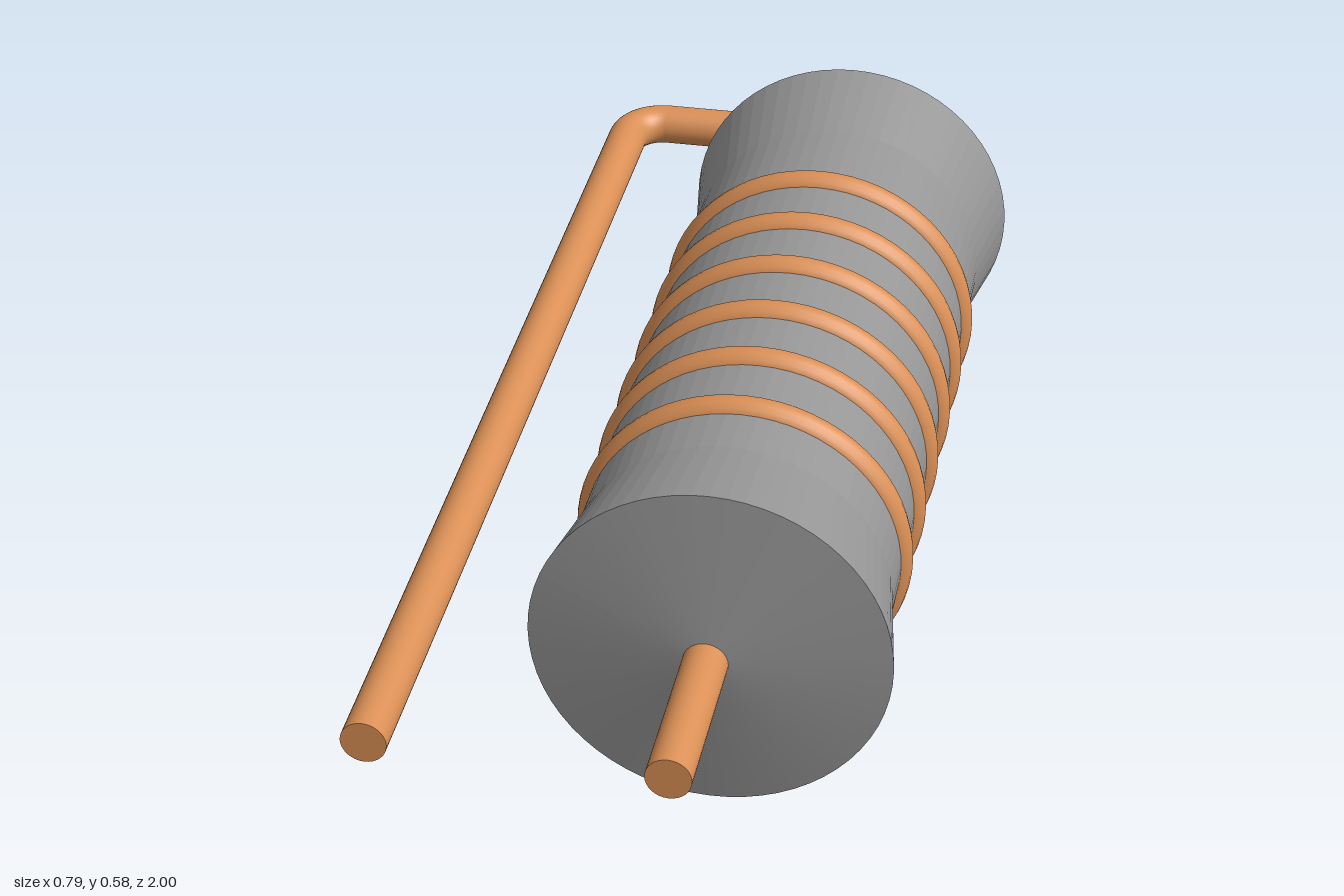
import * as THREE from 'three';

const AXIS_X = 0.106, AXIS_Y = 0.289;   // centre line of the body
const WIRE_R = 0.036, BEND_R = 0.068;
const RETURN_X = -0.358, BACK_Z = -0.964; // centre lines of the folded lead

export function createModel() {
  const model = new THREE.Group();
  const grey = new THREE.MeshStandardMaterial({ color: 0x969696, flatShading: true });
  const copper = new THREE.MeshStandardMaterial({ color: 0xdb9056 });

  const add = (name, geometry, material, x, y, z) => {
    const mesh = new THREE.Mesh(geometry, material);
    mesh.name = name;
    mesh.position.set(x, y, z);
    model.add(mesh);
    return mesh;
  };

  // Waisted body with flared ends and shallow conical caps
  const profile = [
    [0, -0.732], [0.288, -0.695], [0.259, -0.515],
    [0.259, 0.515], [0.288, 0.695], [0, 0.732],
  ].map(([r, h]) => new THREE.Vector2(r, h));
  const body = new THREE.LatheGeometry(profile, 64).rotateX(Math.PI / 2);
  add('body', body, grey, AXIS_X, AXIS_Y, -0.015);

  // Six evenly spaced bands
  for (let i = 0; i < 6; i++) {
    add('band' + (i + 1), new THREE.TorusGeometry(0.248, 0.027, 16, 64), copper,
      AXIS_X, AXIS_Y, 0.383 - i * 0.146);
  }

  // Straight lengths of wire, along z or along x
  const wireZ = (name, x, z0, z1) => add(name,
    new THREE.CylinderGeometry(WIRE_R, WIRE_R, z1 - z0, 32).rotateX(Math.PI / 2),
    copper, x, AXIS_Y, (z0 + z1) / 2);
  const wireX = (name, x0, x1, z) => add(name,
    new THREE.CylinderGeometry(WIRE_R, WIRE_R, x1 - x0, 32).rotateZ(Math.PI / 2),
    copper, (x0 + x1) / 2, AXIS_Y, z);

  const bendZ = BACK_Z + BEND_R;
  wireZ('frontLead', AXIS_X, 0.68, 1);
  wireZ('backLead', AXIS_X, bendZ, -0.7);
  wireZ('returnLead', RETURN_X, bendZ, 1);
  wireX('crossLead', RETURN_X + BEND_R, AXIS_X - BEND_R, BACK_Z);

  // Quarter bends joining the folded lead
  const bend = (name, x, turn) => add(name,
    new THREE.TorusGeometry(BEND_R, WIRE_R, 32, 14, Math.PI / 2).rotateZ(turn).rotateX(-Math.PI / 2),
    copper, x, AXIS_Y, bendZ);
  bend('leftBend', AXIS_X - BEND_R, 0);
  bend('rightBend', RETURN_X + BEND_R, Math.PI / 2);

  return model;
}
